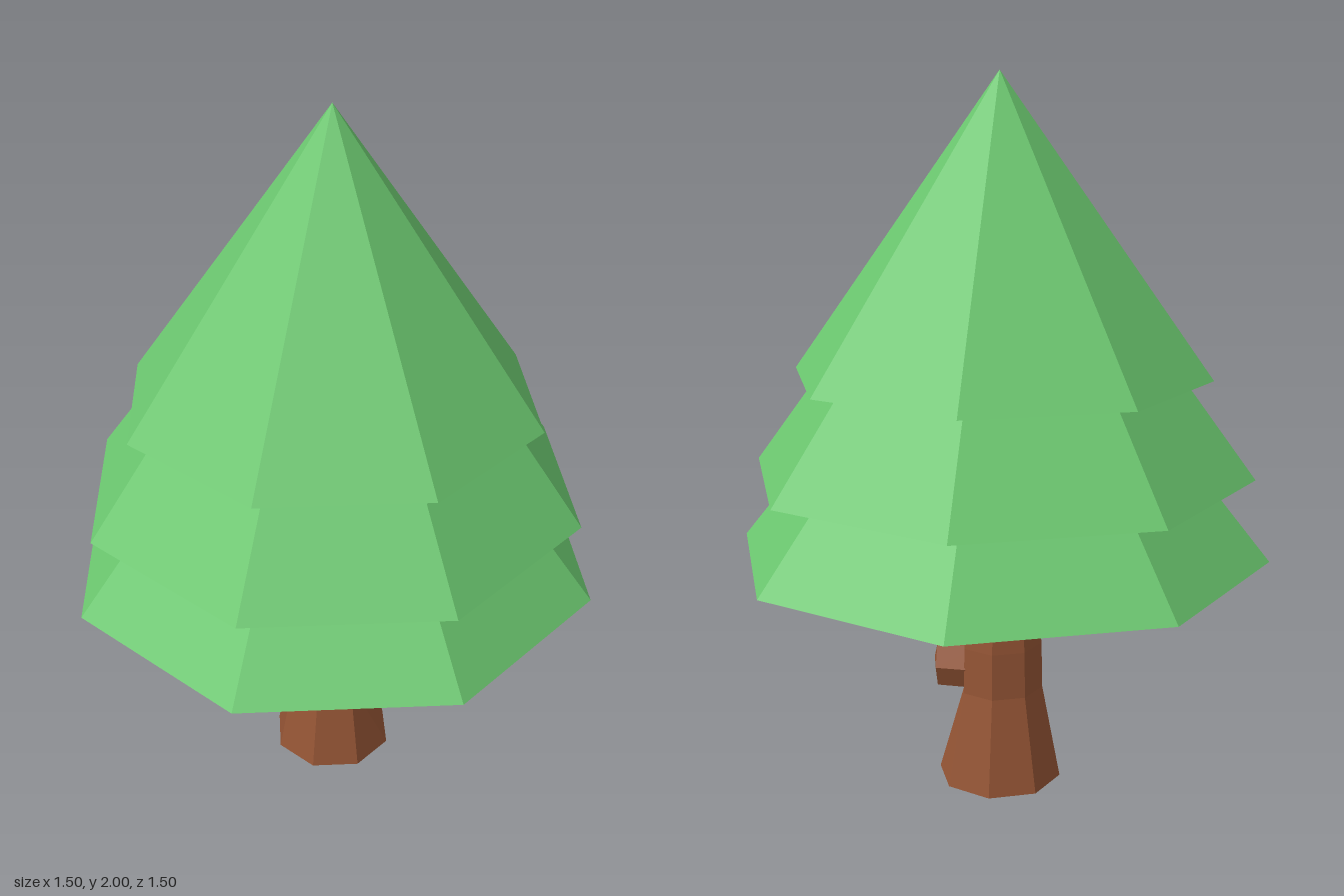
import * as THREE from 'three';

const SIDES = 8;
const green = new THREE.MeshStandardMaterial({ color: 0x6bc76f, flatShading: true });
const brown = new THREE.MeshStandardMaterial({ color: 0x955535, flatShading: true });

// Octagonal solid turned from [radius, height] pairs, bottom to top
function turned(profile) {
  return new THREE.LatheGeometry(profile.map(([r, y]) => new THREE.Vector2(r, y)), SIDES);
}

function addMesh(group, name, geometry, material) {
  const mesh = new THREE.Mesh(geometry, material);
  mesh.name = name;
  group.add(mesh);
  return mesh;
}

export function createModel() {
  const tree = new THREE.Group();
  tree.name = 'pineTree';

  // Trunk flares at the foot; its left side is flattened where the branch grows
  const trunk = turned([[0, 0], [0.178, 0], [0.125, 0.275], [0.122, 0.41], [0.095, 0.7], [0, 0.7]]);
  const pos = trunk.attributes.position;
  for (let i = 0; i < pos.count; i++) {
    const y = pos.getY(i);
    if (y > 0.2 && y < 0.5 && pos.getX(i) > 0.11) pos.setX(i, 0.1);
  }
  addMesh(tree, 'trunk', trunk, brown);

  // Stubby cut branch with a shallow pointed end
  const branch = turned([[0, 0], [0.09, 0], [0.088, 0.12], [0, 0.142]]);
  branch.rotateZ(-Math.PI / 2);
  addMesh(tree, 'branchStub', branch, brown).position.set(0.05, 0.347, 0);

  // Overlapping foliage tiers: [name, radius, base height, tip height]
  const tiers = [
    ['lowerFoliage', 0.752, 0.69, 1.62],
    ['middleFoliage', 0.705, 0.92, 1.87],
    ['upperFoliage', 0.584, 1.19, 2],
  ];
  for (const [name, radius, base, tip] of tiers) {
    addMesh(tree, name, turned([[0, base], [radius, base], [0, tip]]), green);
  }
  return tree;
}
